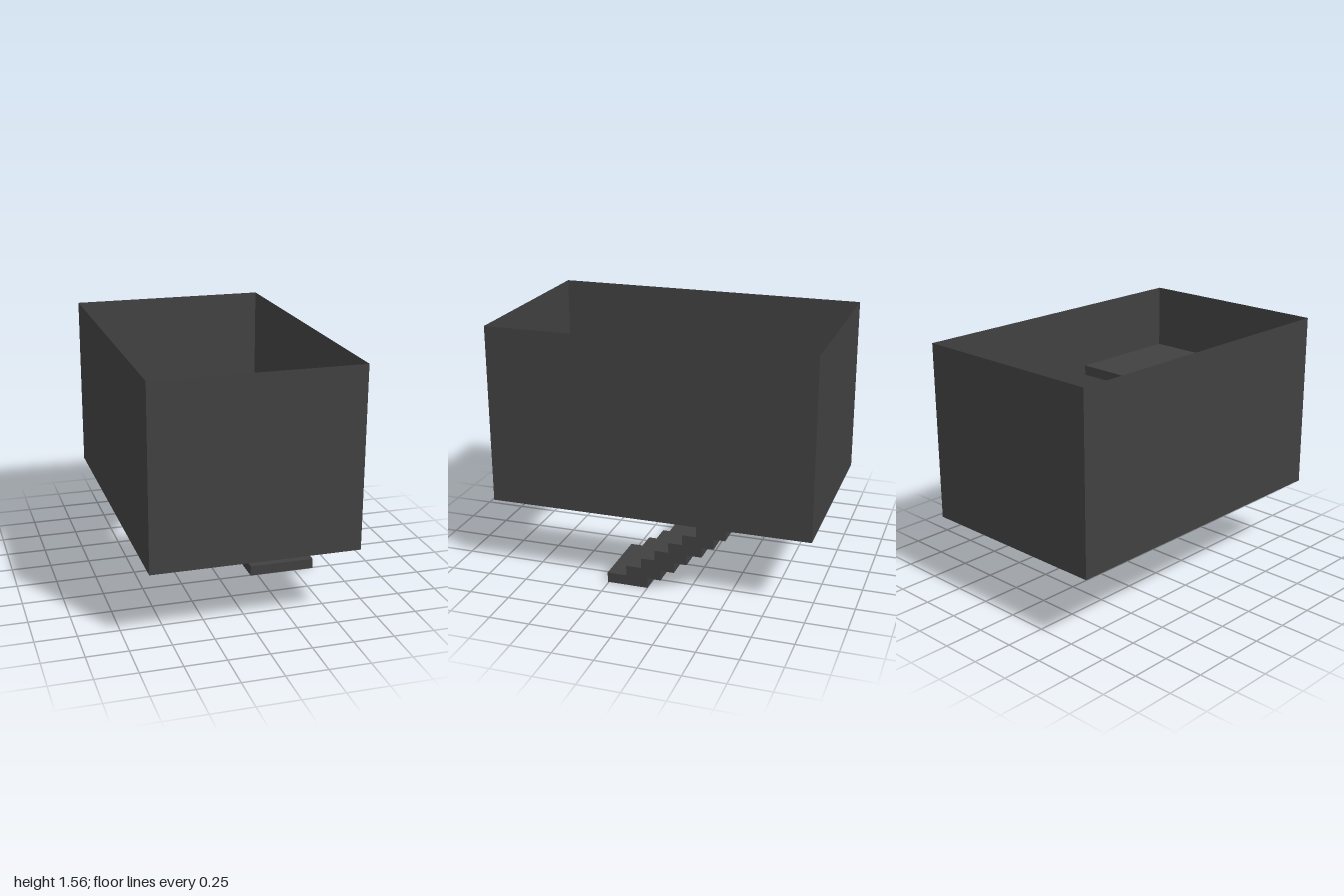
import * as THREE from 'three';

const W = 0.628;          // half width of the shaft
const RISE = 0.0641;      // height of one step
const WALL_LOW = 0.45, WALL_TOP = 1.56;

export function createModel() {
  const model = new THREE.Group();
  const grey = new THREE.MeshStandardMaterial({ color: 0x404040, side: THREE.DoubleSide });
  grey.name = 'darkGrey';

  // Box given by its two opposite corners
  const block = (name, parent, x0, x1, y0, y1, z0, z1) => {
    const mesh = new THREE.Mesh(new THREE.BoxGeometry(x1 - x0, y1 - y0, z1 - z0), grey);
    mesh.position.set((x0 + x1) / 2, (y0 + y1) / 2, (z0 + z1) / 2);
    mesh.name = name;
    parent.add(mesh);
  };

  // Four thin walls, open above and below
  const walls = new THREE.Group();
  walls.name = 'walls';
  const wall = (name, width, x, z, turn) => {
    const mesh = new THREE.Mesh(new THREE.PlaneGeometry(width, WALL_TOP - WALL_LOW), grey);
    mesh.position.set(x, (WALL_LOW + WALL_TOP) / 2, z);
    mesh.rotation.y = turn;
    mesh.name = name;
    walls.add(mesh);
  };
  wall('frontWall', 2 * W, 0, 1, 0);
  wall('backWall', 2 * W, 0, -1, Math.PI);
  wall('leftWall', 2, W, 0, Math.PI / 2);
  wall('rightWall', 2, -W, 0, -Math.PI / 2);
  model.add(walls);

  // A flight of overlapping step blocks, each from its riser to its rear edge
  const flight = (name, x0, x1, base, risers, rears) => {
    const group = new THREE.Group();
    group.name = name;
    risers.forEach((z, i) => {
      block('step', group, x0, x1, base + i * RISE, base + (i + 1) * RISE,
        Math.min(z, rears[i]), Math.max(z, rears[i]));
    });
    model.add(group);
  };
  flight('lowerFlight', 0.205, W - 0.002, 0,
    [0.257, 0.135, 0.04, -0.047, -0.135, -0.222, -0.308, -0.387, -0.46],
    [0, -0.085, -0.17, -0.25, -0.343, -0.416, -0.487, -0.577, -0.577]);
  flight('upperFlight', -W + 0.002, -0.17, 9 * RISE,
    [-0.577, -0.49, -0.41, -0.328, -0.24, -0.155, -0.06, 0.04, 0.135],
    [-0.387, -0.308, -0.22, -0.135, -0.04, 0.06, 0.155, 0.253, 0.253]);

  // Landings at the back (half way) and the front (top)
  const inner = W - 0.002;
  block('middleLanding', model, -inner, inner, 7 * RISE + 0.002, 9 * RISE, -0.998, -0.577);
  block('topLanding', model, -inner, inner, 17 * RISE, 18 * RISE, 0.253, 0.998);

  return model;
}
